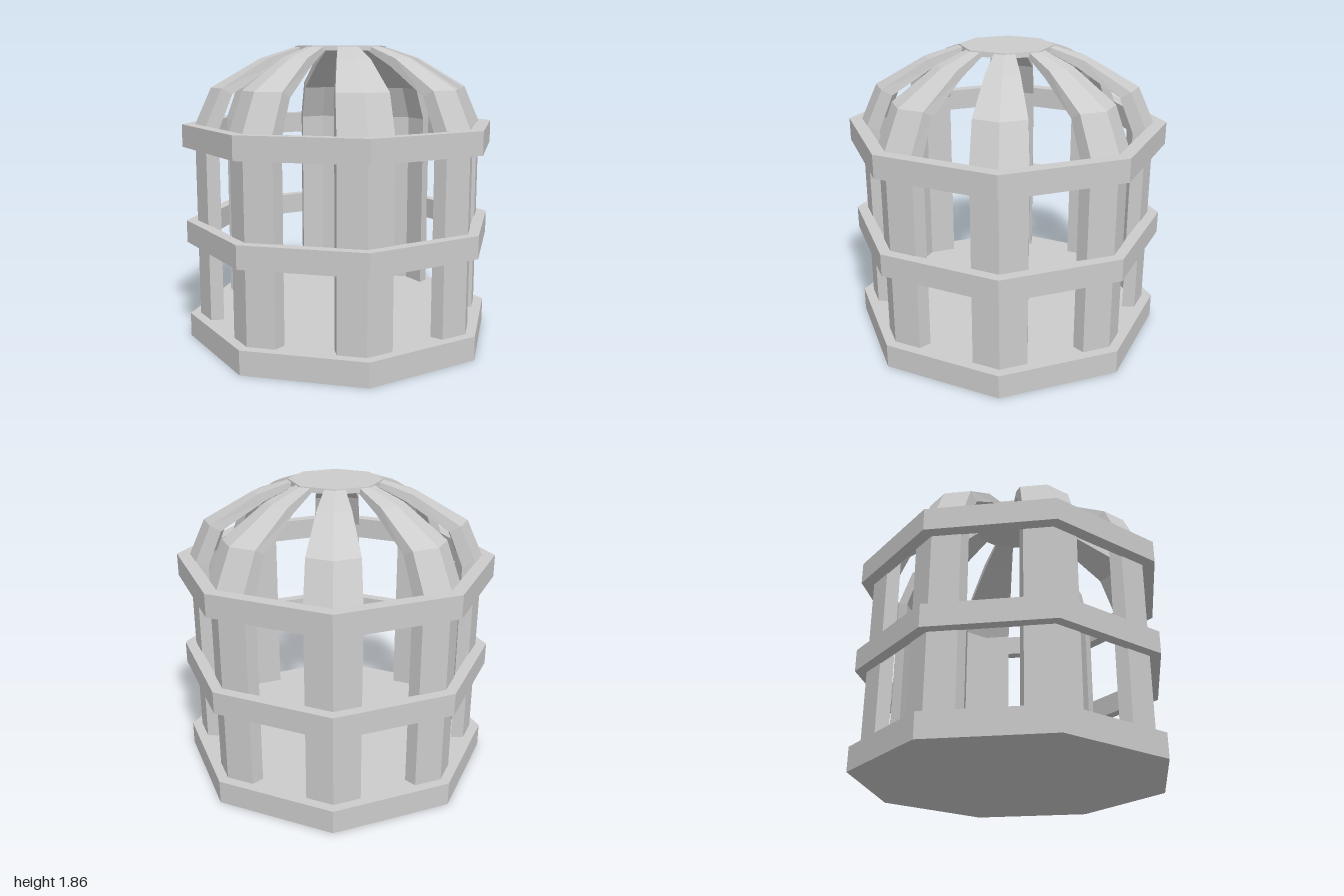
import * as THREE from 'three';

const SIDES = 8;
const K = Math.tan(Math.PI / SIDES); // slope of an octagon corner
const mat = new THREE.MeshStandardMaterial({ color: 0xcccccc, flatShading: true });

function add(group, geometry, name) {
  const mesh = new THREE.Mesh(geometry, mat);
  mesh.name = name;
  group.add(mesh);
  return mesh;
}

// Octagonal hoop with a rectangular section
function hoop(inner, outer, y0, y1) {
  const profile = [[inner, y0], [outer, y0], [outer, y1], [inner, y1], [inner, y0]];
  return new THREE.LatheGeometry(profile.map(p => new THREE.Vector2(...p)), SIDES);
}

// Bar with a V-shaped section, upright below and curving in to form the dome
function ribGeometry() {
  // half width, outer radius, outer y, inner radius, inner y
  const levels = [
    [0.16, 0.92, 0.1, 0.84, 0.1],
    [0.16, 0.92, 1.37, 0.84, 1.35],
    [0.15, 0.815, 1.6, 0.75, 1.565],
    [0.098, 0.505, 1.78, 0.47, 1.735],
    [0.06, 0.28, 1.852, 0.265, 1.828],
  ];
  const sections = levels.map(([w, ro, yo, ri, yi]) => [
    [-w, yo, ro - K * w], [0, yo, ro], [w, yo, ro - K * w],
    [w, yi, ri - K * w], [0, yi, ri], [-w, yi, ri - K * w],
  ]);
  const pos = [];
  const quad = (a, b, c, d) => pos.push(...a, ...b, ...c, ...a, ...c, ...d);
  for (let j = 0; j < sections.length - 1; j++) {
    const lo = sections[j], hi = sections[j + 1];
    for (let i = 0; i < 6; i++) {
      const n = (i + 1) % 6;
      quad(lo[i], lo[n], hi[n], hi[i]);
    }
  }
  // End faces
  const b = sections[0], t = sections[sections.length - 1];
  quad(t[0], t[1], t[4], t[5]);
  quad(t[1], t[2], t[3], t[4]);
  quad(b[5], b[4], b[1], b[0]);
  quad(b[4], b[3], b[2], b[1]);
  const g = new THREE.BufferGeometry();
  g.setAttribute('position', new THREE.Float32BufferAttribute(pos, 3));
  g.computeVertexNormals();
  return g;
}

export function createModel() {
  const model = new THREE.Group();
  model.name = 'cage';

  // Solid floor slab
  add(model, new THREE.CylinderGeometry(0.985, 0.985, 0.15, SIDES), 'base').position.y = 0.075;

  // Hoops around the bars
  add(model, hoop(0.915, 0.99, 0.625, 0.765), 'middleHoop');
  add(model, hoop(0.915, 1.0, 1.235, 1.375), 'upperHoop');

  // Bars, one on each corner
  const bars = new THREE.Group();
  bars.name = 'bars';
  const rib = ribGeometry();
  for (let i = 0; i < SIDES; i++) {
    add(bars, rib, 'bar').rotation.y = (i * 2 * Math.PI) / SIDES;
  }
  model.add(bars);

  // Flat plate closing the dome
  add(model, new THREE.CylinderGeometry(0.29, 0.295, 0.03, SIDES), 'topPlate').position.y = 1.84;

  return model;
}
